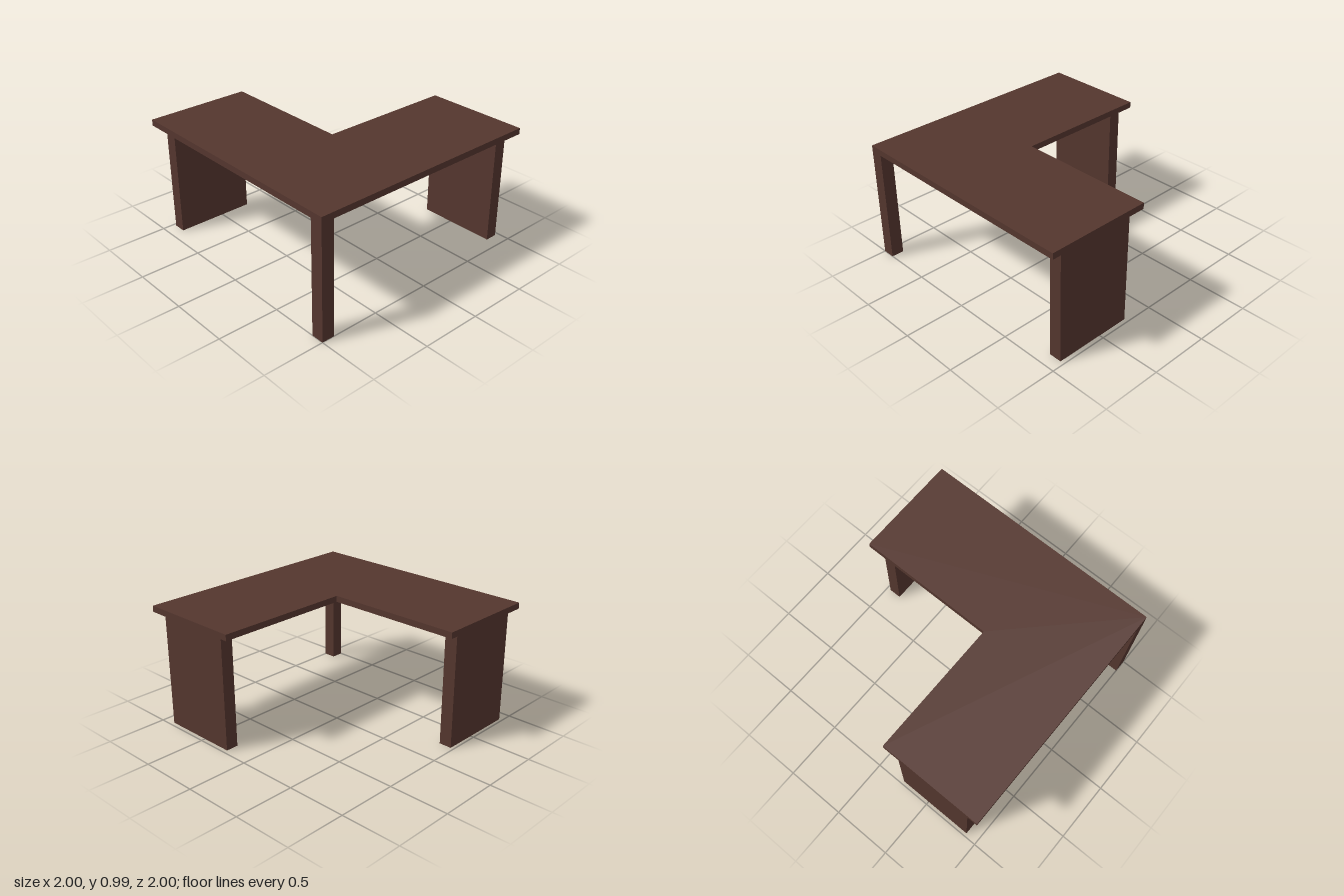
import * as THREE from 'three';

const HEIGHT = 0.987; // top of the desk
const UNDER = 0.937; // underside of the desktop

export function createModel() {
  const model = new THREE.Group();
  model.name = 'cornerDesk';
  const wood = new THREE.MeshStandardMaterial({ color: 0x54362e });
  wood.name = 'darkWood';

  const add = (name, geometry) => {
    const mesh = new THREE.Mesh(geometry, wood);
    mesh.name = name;
    model.add(mesh);
  };

  // L-shaped desktop, drawn in plan as (x, -z) and laid flat
  const plan = new THREE.Shape([
    [-1, -1], [1, -1], [1, -0.132], [-0.137, -0.132], [-0.137, 1], [-1, 1],
  ].map(([x, y]) => new THREE.Vector2(x, y)));
  const top = new THREE.ExtrudeGeometry(plan, { depth: HEIGHT - UNDER, bevelEnabled: false });
  top.rotateX(-Math.PI / 2).translate(0, UNDER, 0);
  add('desktop', top);

  // Supports stand on the floor and meet the underside of the desktop
  const support = (name, x0, x1, z0, z1) => {
    const box = new THREE.BoxGeometry(x1 - x0, UNDER, z1 - z0);
    add(name, box.translate((x0 + x1) / 2, UNDER / 2, (z0 + z1) / 2));
  };
  support('cornerLeg', -1, -0.895, 0.895, 1);
  support('sidePanel', 0.862, 0.965, 0.235, 0.895);
  support('backPanel', -0.895, -0.24, -0.973, -0.868);

  return model;
}
